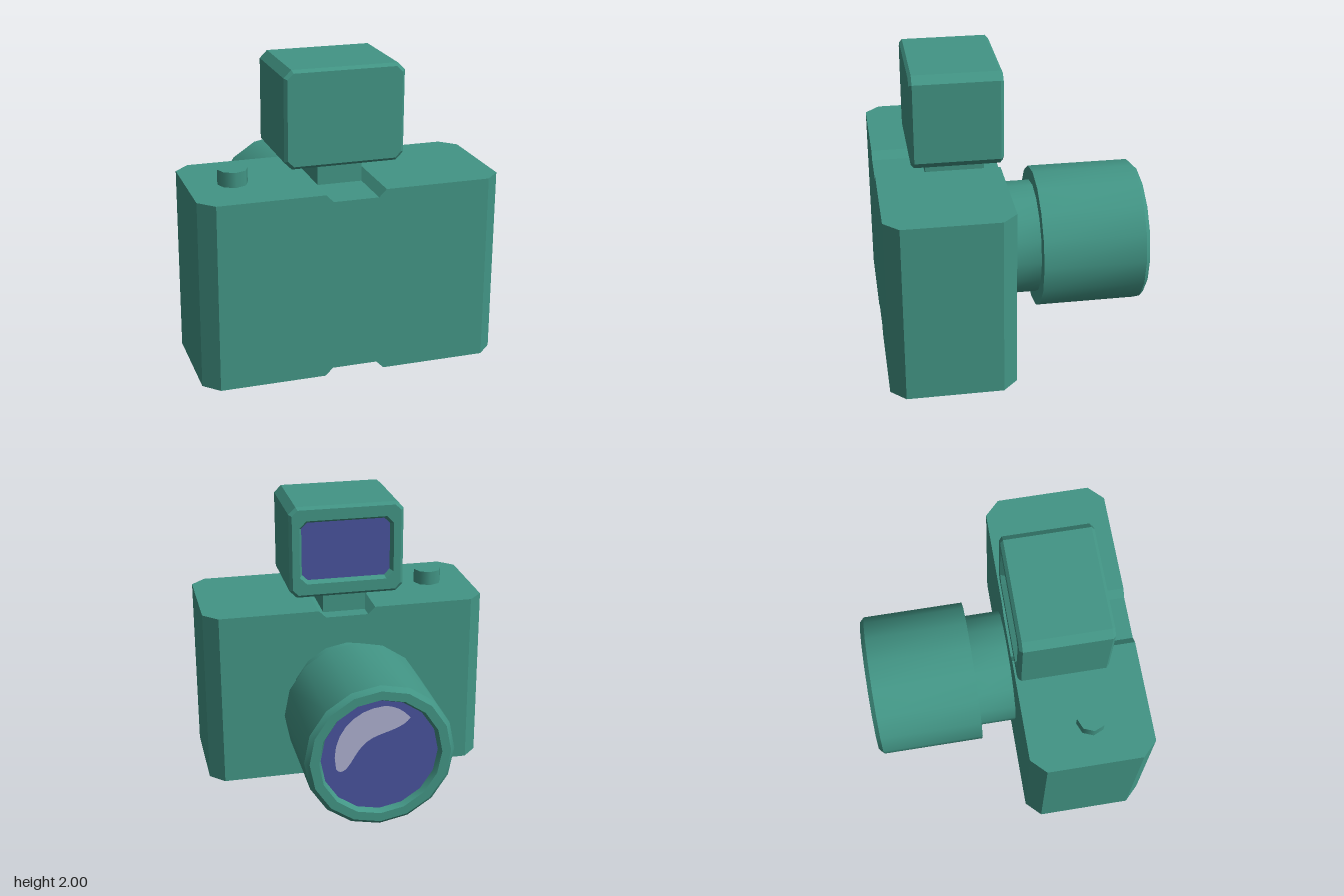
import * as THREE from 'three';
import { toCreasedNormals } from 'three/addons/utils/BufferGeometryUtils.js';

// Skin a row of matching outlines [points, z], optionally capping the ends; flat faces.
function loft(rings, capStart, capEnd) {
  const pos = [];
  const put = (ring, i) => pos.push(ring[0][i][0], ring[0][i][1], ring[1]);
  const n = rings[0][0].length;
  for (let k = 0; k < rings.length - 1; k++) {
    const a = rings[k], b = rings[k + 1];
    for (let i = 0; i < n; i++) {
      const j = (i + 1) % n;
      put(a, i); put(a, j); put(b, j);
      put(a, i); put(b, j); put(b, i);
    }
  }
  const cap = (ring, flip) => {
    const contour = ring[0].map(([x, y]) => new THREE.Vector2(x, y));
    for (const [p, q, r] of THREE.ShapeUtils.triangulateShape(contour, [])) {
      for (const i of flip ? [r, q, p] : [p, q, r]) put(ring, i);
    }
  };
  if (capStart) cap(rings[0], true);
  if (capEnd) cap(rings[rings.length - 1], false);
  const geo = new THREE.BufferGeometry();
  geo.setAttribute('position', new THREE.Float32BufferAttribute(pos, 3));
  geo.computeVertexNormals();
  return geo;
}

// Rectangle with cut corners, counter-clockwise, centred on height cy.
function cutRect(w, h, c, cy) {
  return [[w - c, -h], [w, -h + c], [w, h - c], [w - c, h],
    [-w + c, h], [-w, h - c], [-w, -h + c], [-w + c, -h]].map(([x, y]) => [x, y + cy]);
}

// Body outline with the shallow grooves at top and bottom.
function bodyOutline(w) {
  return [[-w, 0], [-0.2, 0], [-0.15, 0.05], [0.15, 0.05], [0.2, 0], [w, 0],
    [w, 1.25], [0.2, 1.25], [0.15, 1.2], [-0.15, 1.2], [-0.2, 1.25], [-w, 1.25]];
}

export function createModel() {
  const model = new THREE.Group();
  model.name = 'camera';
  const material = (name, color) => {
    const m = new THREE.MeshStandardMaterial({ color });
    m.name = name;
    return m;
  };
  const casing = material('tealCasing', 0x429585);
  const glass = material('blueGlass', 0x49539d);
  const shine = material('paleReflection', 0xaeb1d0);
  const add = (name, geo, mat, parent = model) => {
    const mesh = new THREE.Mesh(geo, mat);
    mesh.name = name;
    parent.add(mesh);
    return mesh;
  };

  // Body with chamfered upright edges
  add('body', loft([
    [bodyOutline(0.9), 0.075], [bodyOutline(1), 0.175],
    [bodyOutline(1), 0.82], [bodyOutline(0.9), 0.92],
  ], true, true), casing);

  // Shutter button
  add('shutterButton', new THREE.CylinderGeometry(0.1, 0.1, 0.1, 8), casing)
    .position.set(-0.7, 1.3, 0.52);

  // Flash foot and hollow-fronted flash head
  add('flashFoot', new THREE.BoxGeometry(0.3, 0.17, 0.4), casing).position.set(0, 1.28, 0.38);
  const cy = 1.677;
  add('flashHead', loft([
    [cutRect(0.31, 0.205, 0.04, cy), 0.115],
    [cutRect(0.33, 0.225, 0.05, cy), 0.08],
    [cutRect(0.38, 0.303, 0.04, cy), 0.08],
    [cutRect(0.4, 0.323, 0.05, cy), 0.1],
    [cutRect(0.4, 0.323, 0.05, cy), 0.67],
    [cutRect(0.38, 0.303, 0.04, cy), 0.69],
  ], false, true), casing);
  const windowRing = cutRect(0.31, 0.205, 0.04, cy);
  add('flashWindow', loft([[windowRing, 0.115], [windowRing, 0.12]], true, true), glass);

  // Lens, modelled facing +z and then turned round
  const lens = new THREE.Group();
  lens.name = 'lens';
  lens.position.y = 0.6;
  lens.rotation.y = Math.PI;
  model.add(lens);
  const profile = [[0.4, -0.08], [0.4, 0.18], [0.5, 0.18], [0.5, 0.895], [0.47, 0.925],
    [0.41, 0.925], [0.39, 0.885]].map(([r, y]) => new THREE.Vector2(r, y));
  const barrel = new THREE.LatheGeometry(profile, 16).rotateX(Math.PI / 2);
  add('lensBarrel', toCreasedNormals(barrel, 0.5), casing, lens);
  add('lensGlass', new THREE.CircleGeometry(0.392, 16), glass, lens).position.z = 0.886;

  // Curved reflection on the glass
  const patch = new THREE.Shape();
  patch.moveTo(-0.29, -0.07);
  patch.bezierCurveTo(-0.34, 0.16, -0.18, 0.35, 0.03, 0.35);
  patch.quadraticCurveTo(0.13, 0.34, 0.2, 0.25);
  patch.bezierCurveTo(0.16, 0.19, 0.06, 0.17, 0, 0.15);
  patch.bezierCurveTo(-0.14, 0.11, -0.16, 0, -0.22, -0.07);
  patch.quadraticCurveTo(-0.26, -0.11, -0.29, -0.07);
  add('lensReflection', new THREE.ShapeGeometry(patch, 8), shine, lens).position.z = 0.891;

  return model;
}
